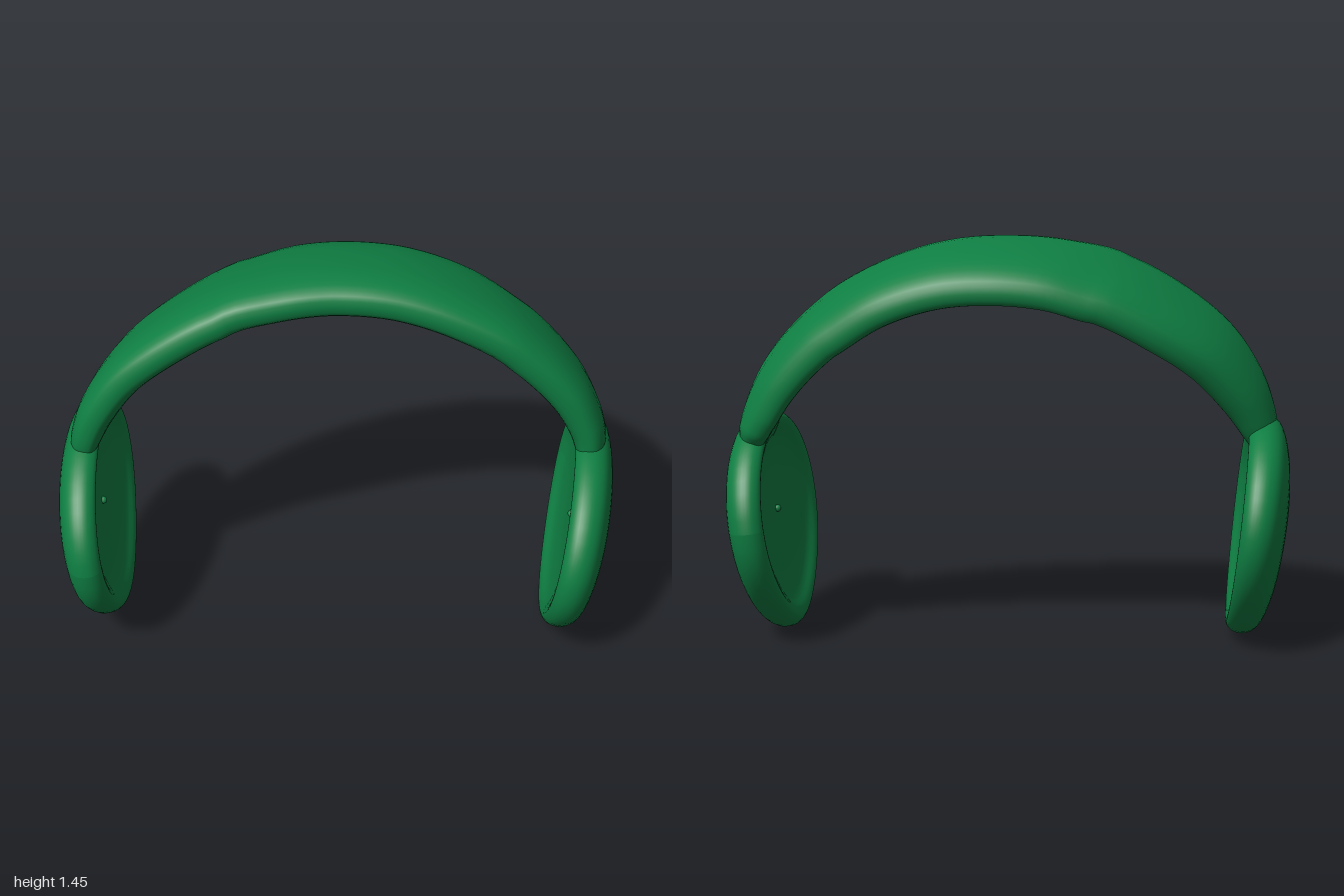
import * as THREE from 'three';

const green = new THREE.MeshStandardMaterial({ color: 0x0f7f43 });
green.name = 'green';

// Headband stations, one side to the other: x, y, front z, back z, half thickness, sideways tilt
const STATIONS = [
  [-0.92, 0.70, 0.17, -0.04, 0.035, 0],
  [-0.89, 0.79, 0.235, -0.08, 0.055, 0.01],
  [-0.83, 0.92, 0.25, -0.145, 0.068, 0.025],
  [-0.72, 1.07, 0.24, -0.23, 0.076, 0.038],
  [-0.57, 1.188, 0.218, -0.302, 0.08, 0.046],
  [-0.38, 1.293, 0.178, -0.365, 0.08, 0.05],
  [-0.19, 1.346, 0.13, -0.407, 0.08, 0.05],
  [0, 1.363, 0.088, -0.43, 0.08, 0.05],
  [0.21, 1.346, 0.065, -0.442, 0.08, 0.05],
  [0.43, 1.273, 0.05, -0.445, 0.08, 0.05],
  [0.635, 1.145, 0.03, -0.43, 0.08, 0.05],
  [0.795, 0.98, 0.012, -0.412, 0.076, 0.048],
  [0.87, 0.85, 0, -0.392, 0.068, 0.04],
  [0.9, 0.775, -0.005, -0.37, 0.06, 0.025],
  [0.92, 0.705, -0.03, -0.31, 0.04, 0.01],
];

// Rounded, slightly crowned strap swept along the arch
function bandGeometry(rings = 70, sides = 32) {
  const curve = (a, b, c) => new THREE.CatmullRomCurve3(
    STATIONS.map((s) => new THREE.Vector3(s[a], s[b], c === undefined ? 0 : s[c])));
  const path = curve(0, 1), section = curve(2, 3, 4), lean = curve(5, 5);
  const pos = [], index = [];
  const pw = (v, e) => Math.sign(v) * Math.abs(v) ** e;
  for (let i = 0; i <= rings; i++) {
    const u = i / rings;
    const p = path.getPoint(u), t = path.getTangent(u);
    const s = section.getPoint(u), tilt = lean.getPoint(u).x;
    const mid = (s.x + s.y) / 2, half = (s.x - s.y) / 2;
    for (let j = 0; j < sides; j++) {
      const a = (j / sides) * Math.PI * 2;
      const c = pw(Math.cos(a), 0.65);
      const off = s.z * pw(Math.sin(a), 0.75) + tilt * c - 0.02 * c * c;
      pos.push(p.x - t.y * off, p.y + t.x * off, mid + half * c);
    }
  }
  for (let i = 0; i < rings; i++) {
    for (let j = 0; j < sides; j++) {
      const a = i * sides + j, c = i * sides + (j + 1) % sides;
      index.push(a, a + sides, c, c, a + sides, c + sides);
    }
  }
  // End caps
  const last = rings * sides;
  for (let j = 1; j < sides - 1; j++) {
    index.push(0, j, j + 1, last, last + j + 1, last + j);
  }
  const g = new THREE.BufferGeometry();
  g.setAttribute('position', new THREE.Float32BufferAttribute(pos, 3));
  g.setIndex(index);
  g.computeVertexNormals();
  return g;
}

// Domed outside, rounded rim, shallow dish inside; local +x points up
function cupGeometry() {
  const profile = new THREE.SplineCurve([
    [0, -0.012], [0.18, -0.016], [0.31, -0.034], [0.37, -0.058], [0.405, -0.06],
    [0.432, -0.03], [0.43, 0.018], [0.388, 0.06], [0.28, 0.092], [0.13, 0.11], [0, 0.113],
  ].map(([r, h]) => new THREE.Vector2(r, h)));
  const points = profile.getPoints(40).map((p) => new THREE.Vector2(Math.max(p.x, 0), p.y));
  const g = new THREE.LatheGeometry(points, 48);
  // Egg outline: short above the middle, longer and narrower below
  const p = g.attributes.position;
  for (let i = 0; i < p.count; i++) {
    const x = p.getX(i);
    const low = Math.min(x, 0) / 0.435;
    p.setX(i, x * (x > 0 ? 0.83 : 1.01));
    p.setZ(i, p.getZ(i) * 1.02 * (1 - 0.2 * low * low));
  }
  g.computeVertexNormals();
  return g;
}

function makeCup(name, geometry, center, outward) {
  const cup = new THREE.Group();
  cup.name = name;
  const shell = new THREE.Mesh(geometry, green);
  shell.name = 'cupShell';
  // Small stud in the middle of the dish
  const stud = new THREE.Mesh(new THREE.SphereGeometry(0.014, 12, 8), green);
  stud.name = 'stud';
  stud.position.y = -0.015;
  cup.add(shell, stud);

  const n = new THREE.Vector3(...outward).normalize();
  const up = new THREE.Vector3(0, 1, 0).addScaledVector(n, -n.y).normalize();
  const side = new THREE.Vector3().crossVectors(up, n);
  cup.quaternion.setFromRotationMatrix(new THREE.Matrix4().makeBasis(up, n, side));
  cup.position.set(...center);
  return cup;
}

export function createModel() {
  const model = new THREE.Group();
  model.name = 'headset';
  const band = new THREE.Mesh(bandGeometry(), green);
  band.name = 'headband';
  const cup = cupGeometry();
  model.add(
    band,
    makeCup('leftCup', cup, [0.877, 0.447, -0.085], [1, -0.128, -0.045]),
    makeCup('rightCup', cup, [-0.875, 0.46, 0.085], [-1, -0.1, 0.09]),
  );
  return model;
}
